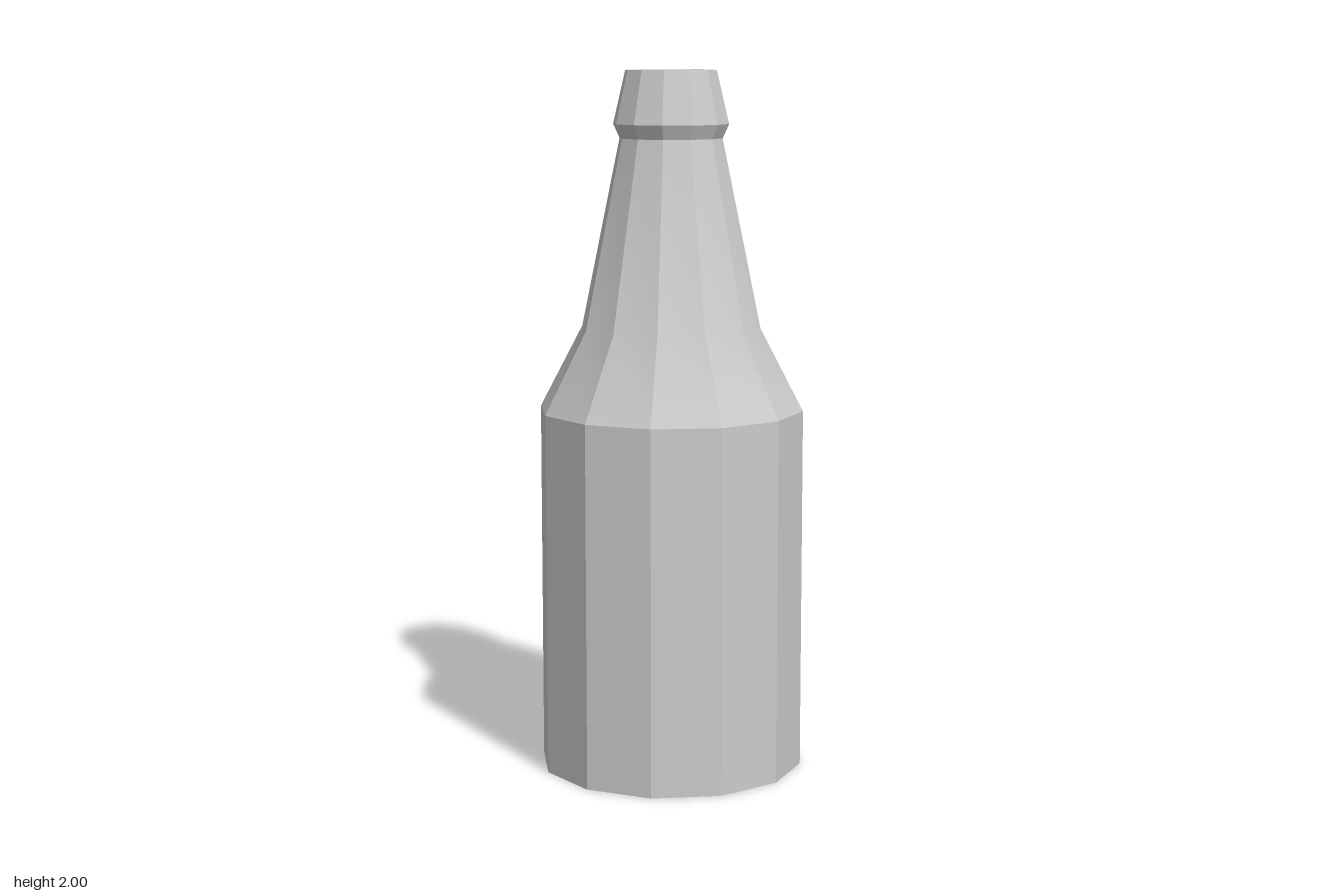
import * as THREE from 'three';
import { toCreasedNormals } from 'three/addons/utils/BufferGeometryUtils.js';

const SIDES = 12;

// Revolve a profile of [radius, height] pairs; panels stay crisp, gentle bends stay smooth
function turned(name, profile, material) {
  const points = profile.map(([r, y]) => new THREE.Vector2(r, y));
  const geometry = toCreasedNormals(new THREE.LatheGeometry(points, SIDES), 0.4);
  const mesh = new THREE.Mesh(geometry, material);
  mesh.name = name;
  return mesh;
}

export function createModel() {
  const group = new THREE.Group();
  group.name = 'bottle';
  const glass = new THREE.MeshStandardMaterial({ color: 0xcccccc });

  // Base and straight body
  group.add(turned('body', [[0, 0], [0.38, 0], [0.38, 1.04]], glass));

  // Sloping shoulder and tapering neck
  group.add(turned('shoulderAndNeck', [[0.38, 1.04], [0.257, 1.275], [0.147, 1.81]], glass));

  // Flared collar, lip and flat rim
  group.add(turned('collarAndRim', [[0.147, 1.81], [0.165, 1.85], [0.13, 2], [0.095, 2]], glass));

  // Mouth: recessed wall and floor
  group.add(turned('mouth', [[0.095, 2], [0.095, 1.8], [0, 1.8]], glass));

  return group;
}
